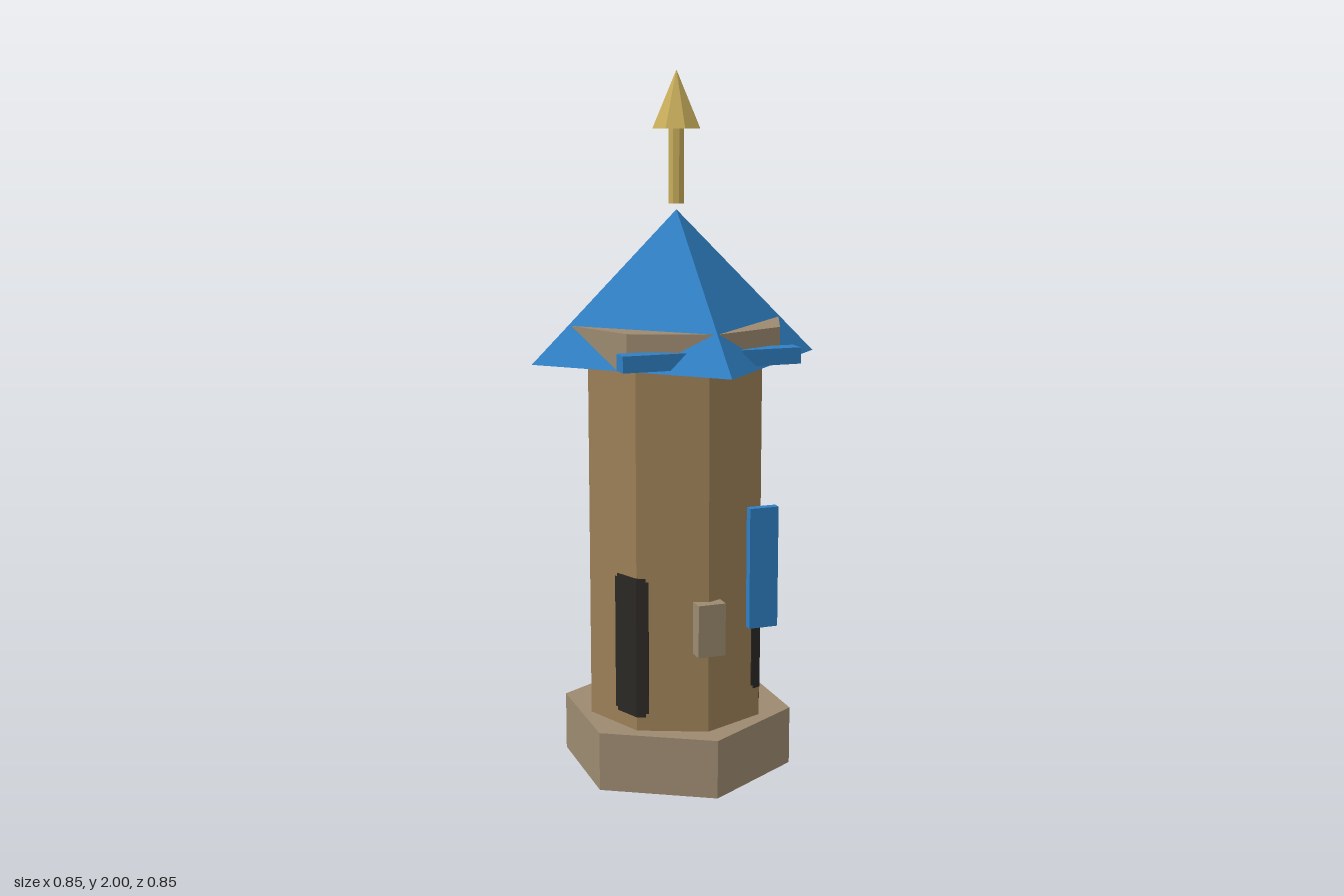
import * as THREE from 'three';

const material = (name, color) => {
  const m = new THREE.MeshStandardMaterial({ color, flatShading: true });
  m.name = name;
  return m;
};

export function createModel() {
  const tan = material('tan wall', 0x9c8057);
  const stone = material('stone', 0x9c8a70);
  const blue = material('blue', 0x2f80c4);
  const gold = material('gold', 0xc9ae5c);
  const dark = material('dark opening', 0x2b2825);

  const tower = new THREE.Group();
  tower.name = 'tower';
  const add = (name, geometry, mat, parent = tower) => {
    const mesh = new THREE.Mesh(geometry, mat);
    mesh.name = name;
    parent.add(mesh);
    return mesh;
  };

  // Upright prism or cone between two heights
  const prism = (name, rTop, rBottom, y0, y1, sides, mat) => {
    const g = new THREE.CylinderGeometry(rTop, rBottom, y1 - y0, sides);
    add(name, g.translate(0, (y0 + y1) / 2, 0), mat);
  };

  // Box given by its limits on each axis
  const block = (name, [x0, x1], [y0, y1], [z0, z1], mat) => {
    const g = new THREE.BoxGeometry(x1 - x0, y1 - y0, z1 - z0);
    add(name, g.translate((x0 + x1) / 2, (y0 + y1) / 2, (z0 + z1) / 2), mat);
  };

  const R = 0.263;
  prism('base', 0.337, 0.337, 0, 0.17, 6, stone);
  prism('wall', R, R, 0.17, 1.2, 8, tan);
  prism('parapet', 0.315, 0.315, 1.2, 1.304, 8, stone);
  prism('roof', 0, 0.425, 1.2, 1.618, 4, blue);
  prism('finialPole', 0.023, 0.023, 1.635, 1.84, 8, gold);
  prism('finialTip', 0, 0.071, 1.84, 2, 8, gold);

  // Front fittings
  block('frontBeam', [-0.256, 0.256], [1.21, 1.255], [0.237, 0.292], blue);
  block('banner', [0.115, 0.2], [0.465, 0.81], [0.255, 0.28], blue);
  block('plaque', [-0.04, 0.04], [0.4, 0.55], [0.245, 0.29], stone);

  // Thin dark plates folded round a wall corner; lengths run along each face
  const corner = (i, r) => {
    const a = (i * Math.PI) / 4;
    return new THREE.Vector2(Math.sin(a) * r, -Math.cos(a) * r);
  };
  const foldedPlate = (i, before, after, y0, y1, parent) => {
    const side = 2 * R * Math.sin(Math.PI / 8);
    const line = r => [
      corner(i, r).lerp(corner(i - 1, r), before / side),
      corner(i, r),
      corner(i, r).lerp(corner(i + 1, r), after / side),
    ];
    const shape = new THREE.Shape([...line(R - 0.002), ...line(R + 0.002).reverse()]);
    const g = new THREE.ExtrudeGeometry(shape, { depth: y1 - y0, bevelEnabled: false });
    add('plate', g.rotateX(-Math.PI / 2).translate(0, y0, 0), dark, parent);
  };
  const opening = (name, i, before, after, y0, y1) => {
    const group = new THREE.Group();
    group.name = name;
    tower.add(group);
    // Stepped ends give the opening clipped corners
    foldedPlate(i, before, after, y0 + 0.01, y1 - 0.01, group);
    foldedPlate(i, before - 0.009, after - 0.009, y1 - 0.01, y1, group);
    foldedPlate(i, before - 0.009, after - 0.009, y0, y0 + 0.01, group);
  };
  opening('leftWindow', 1, 0.034, 0.089, 0.255, 0.665);
  opening('rightWindow', -1, 0.089, 0.034, 0.21, 0.615);
  opening('lowSlot', 2, 0.081, 0.054, 0.165, 0.207);

  return tower;
}
